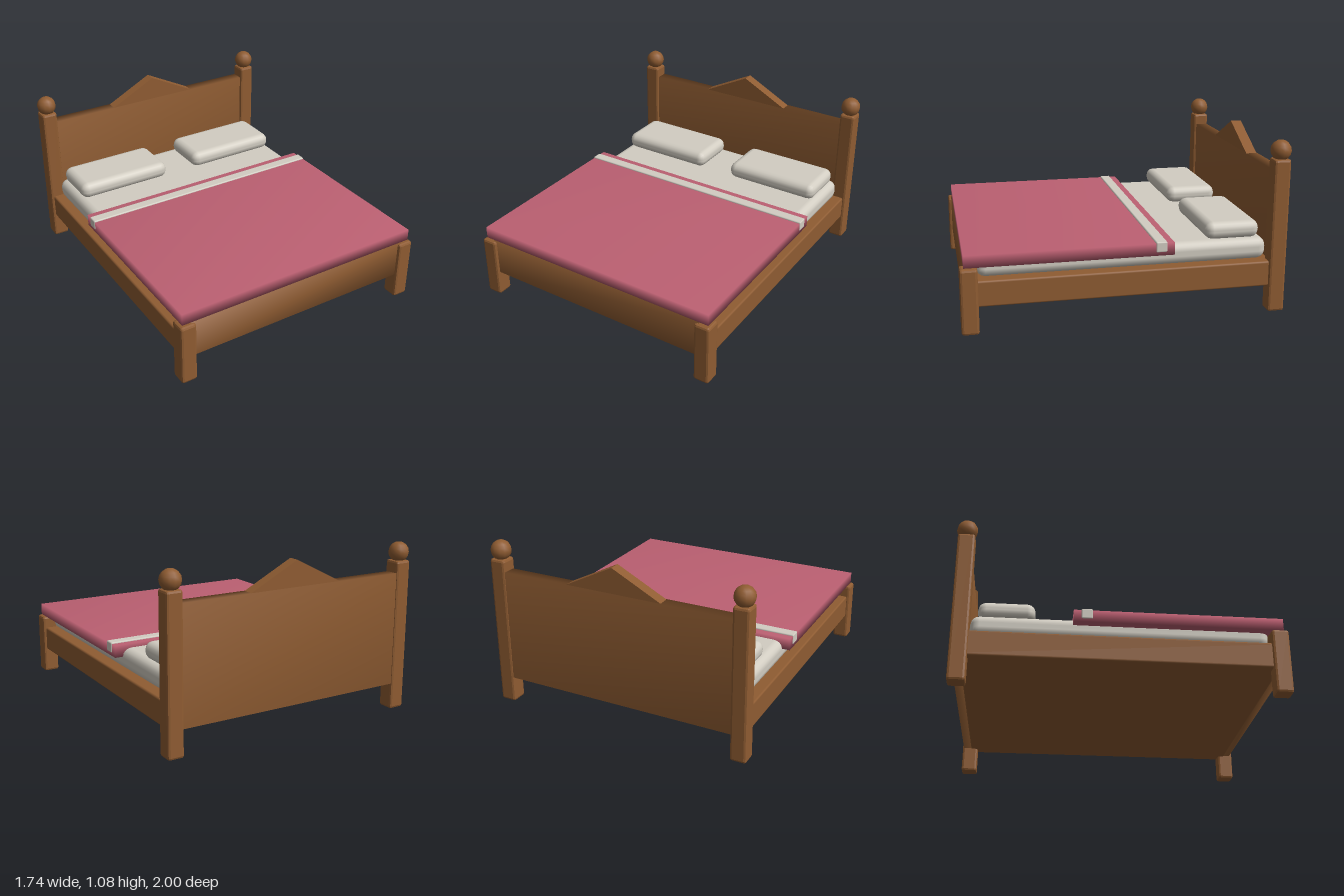
import * as THREE from 'three';
import { RoundedBoxGeometry } from 'three/addons/geometries/RoundedBoxGeometry.js';
import { mergeVertices } from 'three/addons/utils/BufferGeometryUtils.js';

const wood = new THREE.MeshStandardMaterial({ color: 0x8f5c32 });
const woodFlat = new THREE.MeshStandardMaterial({ color: 0x8f5c32, flatShading: true });
const linen = new THREE.MeshStandardMaterial({ color: 0xd2cdc2 });
const pink = new THREE.MeshStandardMaterial({ color: 0xbc6072 });

// Box with bevelled edges, given by its minimum and maximum corners
function bevelBox(name, min, max, radius, segments, material) {
  const size = max.map((v, i) => v - min[i]);
  const mesh = new THREE.Mesh(new RoundedBoxGeometry(...size, segments, radius), material);
  mesh.position.set(...max.map((v, i) => (v + min[i]) / 2));
  mesh.name = name;
  return mesh;
}

// Plain box whose corners share softened normals
function softBox(name, min, max, material) {
  let geometry = new THREE.BoxGeometry(...max.map((v, i) => v - min[i]));
  geometry.deleteAttribute('normal');
  geometry.deleteAttribute('uv');
  geometry = mergeVertices(geometry);
  geometry.computeVertexNormals();
  const mesh = new THREE.Mesh(geometry, material);
  mesh.position.set(...max.map((v, i) => (v + min[i]) / 2));
  mesh.name = name;
  return mesh;
}

export function createModel() {
  const bed = new THREE.Group();
  bed.name = 'bed';

  // Wooden frame: base with side rails, headboard and footboard
  bed.add(
    bevelBox('baseFrame', [-0.84, 0.165, -0.93], [0.84, 0.325, 0.94], 0.012, 1, wood),
    softBox('headboard', [-0.78, 0.17, -0.98], [0.78, 0.89, -0.9], wood),
    softBox('footboard', [-0.78, 0.17, 0.9], [0.78, 0.41, 0.98], wood),
  );

  // Triangular crest on the headboard
  const triangle = new THREE.Shape([
    new THREE.Vector2(-0.325, 0.885),
    new THREE.Vector2(0.325, 0.885),
    new THREE.Vector2(0, 1.05),
  ]);
  const crest = new THREE.Mesh(
    new THREE.ExtrudeGeometry(triangle, { depth: 0.07, bevelEnabled: false }), wood);
  crest.position.z = -0.975;
  crest.name = 'headboardCrest';
  bed.add(crest);

  for (const [side, s] of [['left', 1], ['right', -1]]) {
    // Corner posts
    const x0 = s * 0.808 - 0.052, x1 = s * 0.808 + 0.052;
    bed.add(
      bevelBox(side + 'HeadPost', [x0, 0, -0.988], [x1, 0.965, -0.882], 0.015, 1, woodFlat),
      bevelBox(side + 'FootPost', [x0, 0, 0.895], [x1, 0.405, 1], 0.015, 1, woodFlat),
    );

    // Ball finial
    const finial = new THREE.Mesh(new THREE.SphereGeometry(0.064, 12, 8), wood);
    finial.position.set(s * 0.808, 1.015, -0.935);
    finial.name = side + 'Finial';
    bed.add(finial);

    // Pillow
    const px = s * 0.437;
    bed.add(bevelBox(side + 'Pillow', [px - 0.328, 0.455, -0.845], [px + 0.328, 0.566, -0.502], 0.05, 2, linen));
  }

  // Bedding
  bed.add(
    bevelBox('mattress', [-0.79, 0.322, -0.885], [0.79, 0.46, 0.9], 0.055, 2, linen),
    softBox('blanket', [-0.84, 0.41, -0.28], [0.84, 0.486, 0.975], pink),
    bevelBox('sheetFold', [-0.845, 0.43, -0.235], [0.845, 0.495, -0.165], 0.008, 1, linen),
  );

  return bed;
}
